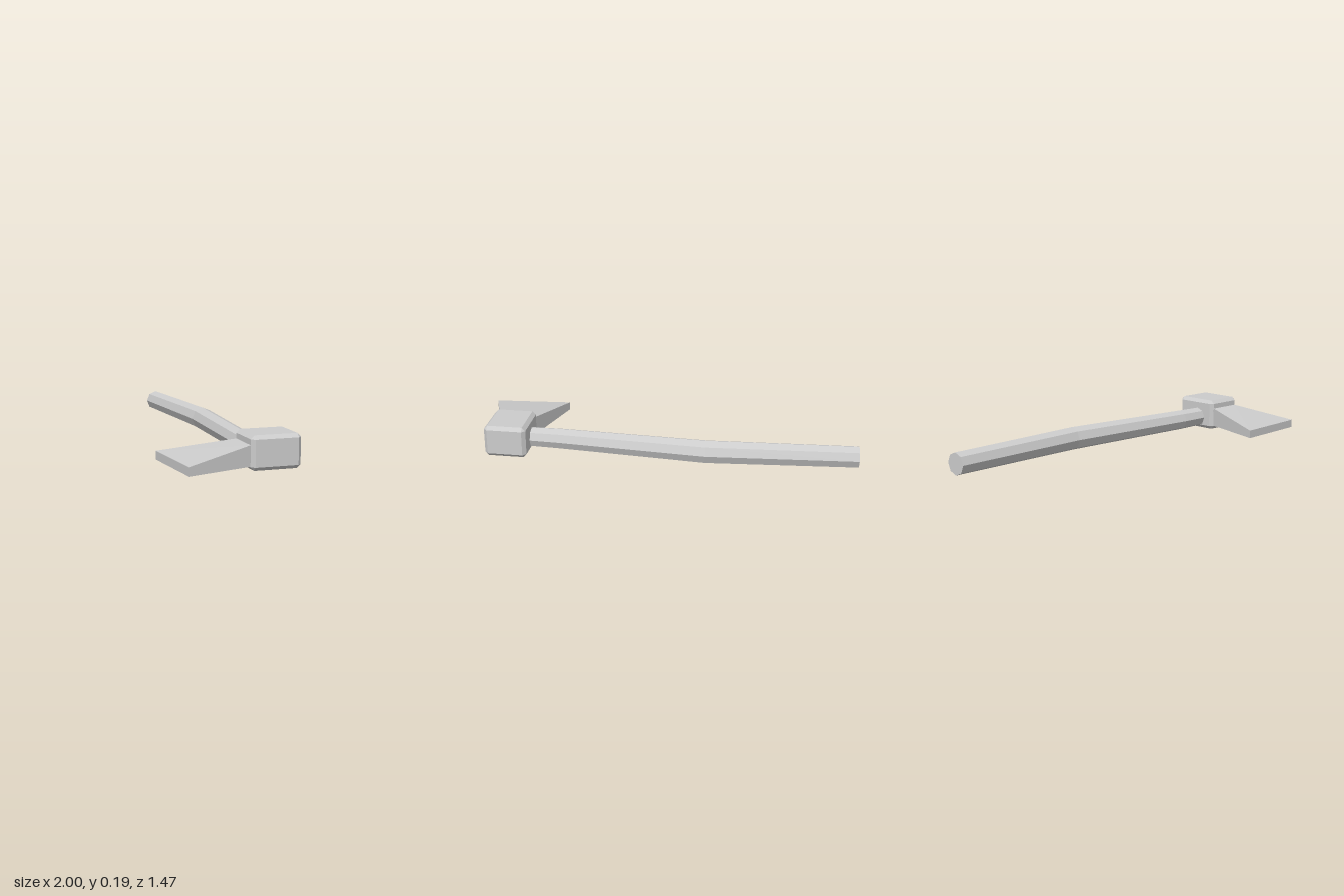
import * as THREE from 'three';
import { ConvexGeometry } from 'three/addons/geometries/ConvexGeometry.js';

const V = (x, y, z) => new THREE.Vector3(x, y, z);

// Octagonal loft along a bent path; stops are [x, z, radius] at a fixed height
function handleGeometry(stops, height, sides = 8) {
  const centres = stops.map(([x, z]) => V(x, height, z));
  const rings = stops.map(([, , r], k) => {
    const prev = centres[Math.max(k - 1, 0)];
    const next = centres[Math.min(k + 1, stops.length - 1)];
    const t = next.clone().sub(prev).normalize();
    const side = V(t.z, 0, -t.x);
    return Array.from({ length: sides }, (_, i) => {
      const a = (i / sides) * Math.PI * 2;
      return centres[k].clone().addScaledVector(side, Math.cos(a) * r).add(V(0, Math.sin(a) * r, 0));
    });
  });
  const points = [];
  const last = rings.length - 1;
  for (let i = 0; i < sides; i++) {
    const j = (i + 1) % sides;
    for (let k = 0; k < last; k++) {
      const a = rings[k][i], b = rings[k][j], c = rings[k + 1][j], d = rings[k + 1][i];
      points.push(a, b, c, a, c, d);
    }
    points.push(centres[0], rings[0][j], rings[0][i]);
    points.push(centres[last], rings[last][i], rings[last][j]);
  }
  const geometry = new THREE.BufferGeometry().setFromPoints(points);
  geometry.computeVertexNormals();
  return geometry;
}

// Box with every edge chamfered, given half sizes
function chamferedBox(a, h, b, c) {
  const points = [];
  for (const x of [-1, 1]) for (const y of [-1, 1]) for (const z of [-1, 1]) {
    points.push(
      V(x * a, y * (h - c), z * (b - c)),
      V(x * (a - c), y * h, z * (b - c)),
      V(x * (a - c), y * (h - c), z * b)
    );
  }
  return new ConvexGeometry(points);
}

export function createModel() {
  const model = new THREE.Group();
  model.name = 'axe';
  const grey = new THREE.MeshStandardMaterial({ color: 0xcccccc });
  grey.name = 'grey';

  const add = (name, geometry) => {
    const mesh = new THREE.Mesh(geometry, grey);
    mesh.name = name;
    model.add(mesh);
    return mesh;
  };

  // Bent handle, ending inside the head
  add('handle', handleGeometry([
    [-0.977, -0.677, 0.063],
    [-0.18, -0.36, 0.068],
    [0.575, 0.058, 0.061],
    [0.8, 0.17, 0.057],
  ], 0.07));

  // Chamfered head block, turned to follow the handle
  const head = add('head', chamferedBox(0.122, 0.0925, 0.139, 0.02));
  head.position.set(0.84, 0.0925, 0.168);
  head.rotation.y = -THREE.MathUtils.degToRad(25.5);

  // Flaring wedge blade with a flat underside
  const bottom = 0.023;
  const corners = [
    [0.689, 0.249, 0.135], [0.872, 0.336, 0.135], // root at the head
    [0.4, 0.565, 0.07], [0.825, 0.73, 0.07],      // cutting edge
  ];
  add('blade', new ConvexGeometry(corners.flatMap(([x, z, top]) => [V(x, bottom, z), V(x, top, z)])));

  return model;
}
